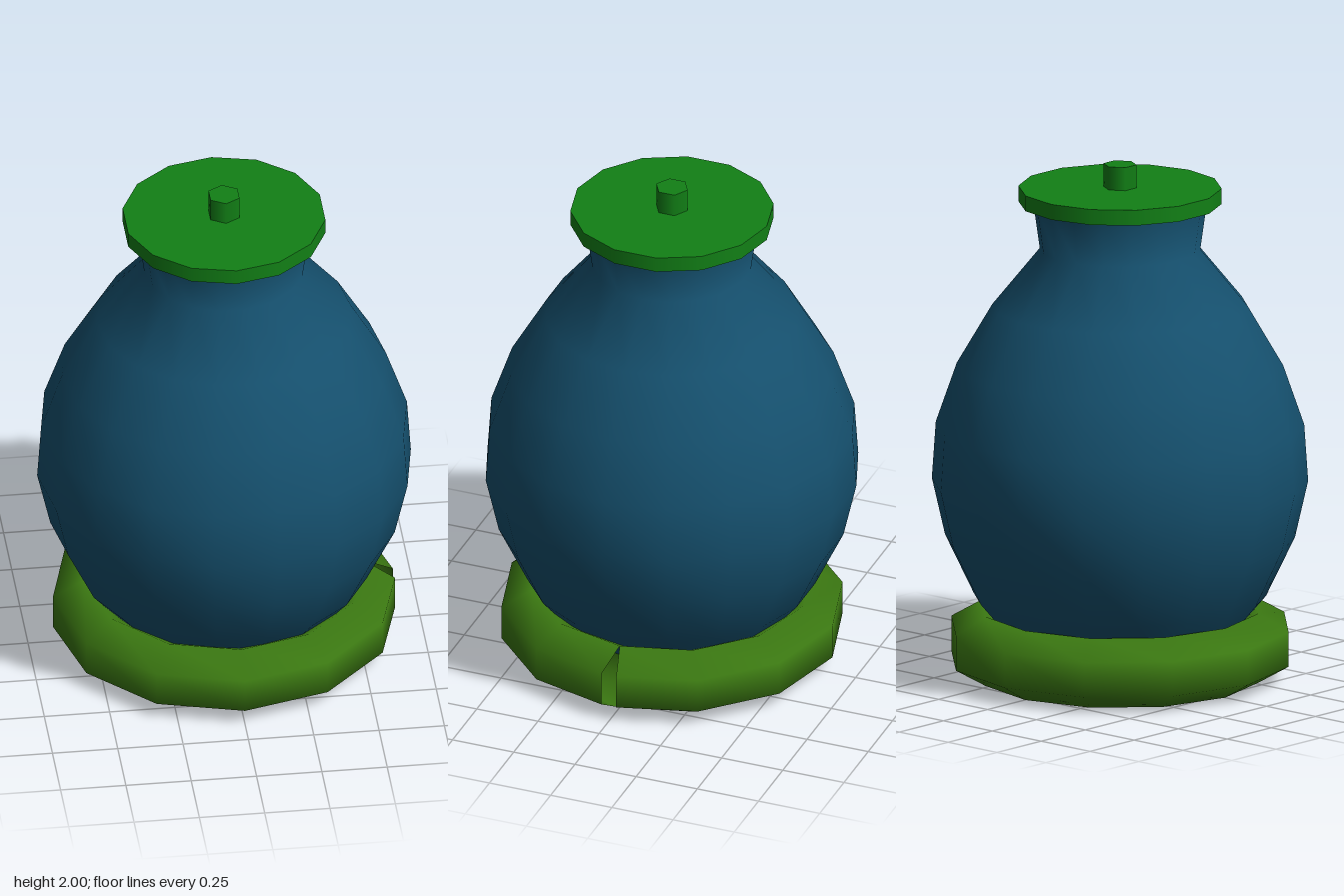
import * as THREE from 'three';

const material = (color, side = THREE.FrontSide) => new THREE.MeshStandardMaterial({ color, side });

function part(name, geometry, mat, y = 0) {
  const mesh = new THREE.Mesh(geometry, mat);
  mesh.name = name;
  mesh.position.y = y;
  return mesh;
}

export function createModel() {
  const group = new THREE.Group();
  group.name = 'liddedJar';
  const blue = material(0x15506e, THREE.DoubleSide);
  const green = material(0x128016);
  const olive = material(0x3c7a12, THREE.DoubleSide);

  // Jar body: bulging wall with a flared neck
  const profile = [
    [0.37, 0.1], [0.555, 0.32], [0.665, 0.55], [0.715, 0.77], [0.7, 0.99],
    [0.62, 1.22], [0.485, 1.45], [0.305, 1.67], [0.33, 1.85],
  ].map(([r, y]) => new THREE.Vector2(r, y));
  const body = part('body', new THREE.LatheGeometry(profile, 18), blue);
  body.rotation.y = Math.PI / 2;
  group.add(body);

  // Flat bottom of the jar, facing down
  const bottom = part('bottom', new THREE.CircleGeometry(0.37, 18), blue, 0.1);
  bottom.rotation.x = Math.PI / 2;
  group.add(bottom);

  // Lid and its knob
  group.add(part('lid', new THREE.CylinderGeometry(0.387, 0.387, 0.06, 14), green, 1.88));
  group.add(part('knob', new THREE.CylinderGeometry(0.064, 0.064, 0.09, 6), green, 1.955));

  // Base ring: a hexagonal tube whose open ends leave a wedge-shaped seam at +x
  const points = [];
  for (let i = 0; i <= 12; i++) {
    const a = (i / 12) * Math.PI * 2;
    points.push(new THREE.Vector3(Math.cos(a) * 0.538, 0, Math.sin(a) * 0.538));
  }
  const path = new THREE.CatmullRomCurve3(points);
  group.add(part('baseRing', new THREE.TubeGeometry(path, 12, 0.135, 6, false), olive, 0.138));

  return group;
}
